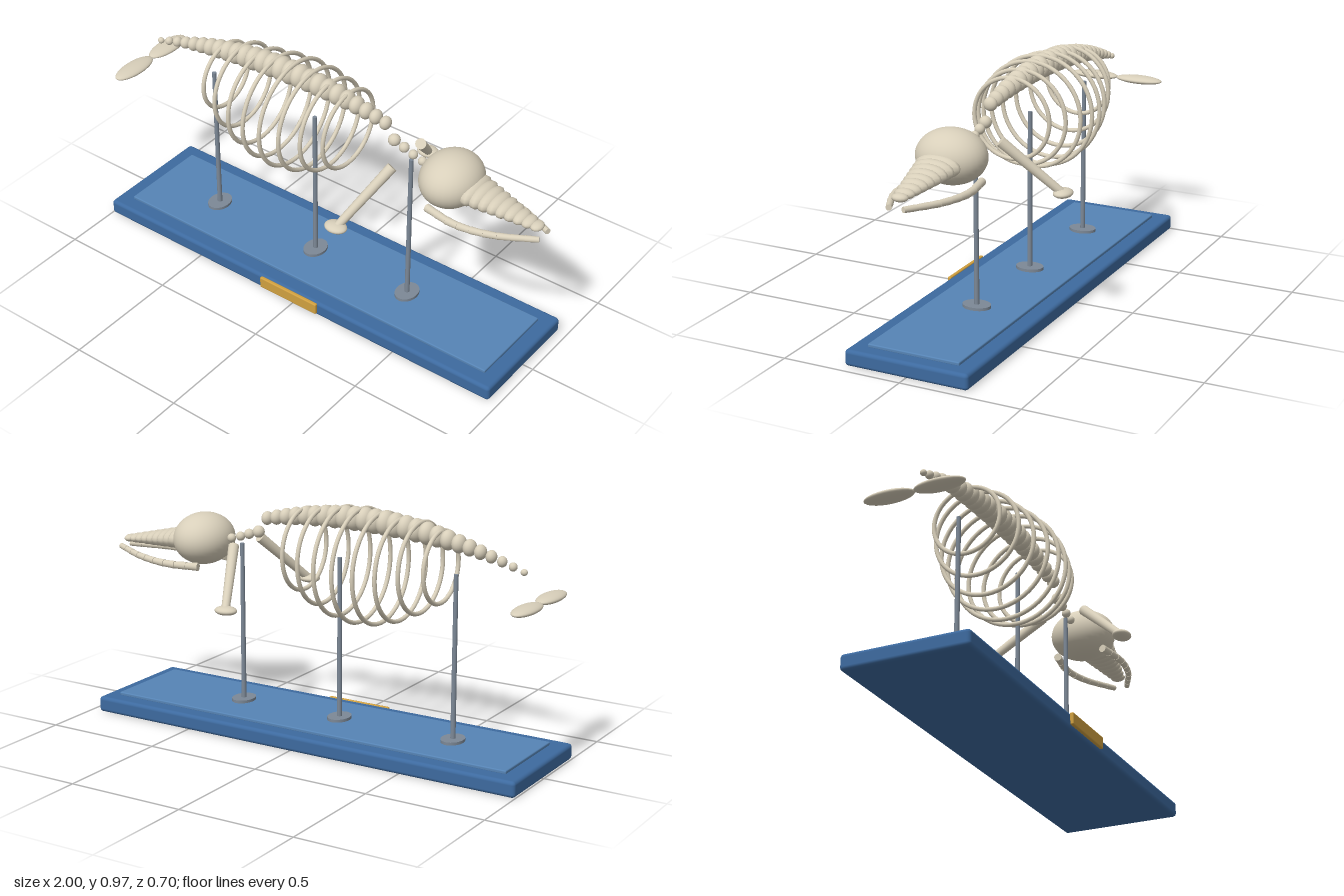
import * as THREE from 'three';
import { RoundedBoxGeometry } from 'three/addons/geometries/RoundedBoxGeometry.js';

const mat = (color) => new THREE.MeshStandardMaterial({ color });
const V = (x, y, z) => new THREE.Vector3(x, y, z);
const lerp = THREE.MathUtils.lerp;

export function createModel() {
  const model = new THREE.Group();
  model.name = 'skeletonOnStand';
  const bone = mat(0xd8cfba), steel = mat(0x7c8896);
  const blue = mat(0x3d6a9f), lightBlue = mat(0x5684b5), brass = mat(0xd0a040);

  const group = (name) => {
    const g = new THREE.Group();
    g.name = name;
    model.add(g);
    return g;
  };
  const add = (parent, name, geometry, material, x, y, z) => {
    const m = new THREE.Mesh(geometry, material);
    m.name = name;
    m.position.set(x, y, z);
    parent.add(m);
    return m;
  };
  const ellipsoid = (parent, name, p, r, w = 24, h = 16) => {
    const m = add(parent, name, new THREE.SphereGeometry(1, w, h), bone, ...p);
    m.scale.set(...r);
    return m;
  };
  // Tapered round bar from a to b
  const bar = (parent, name, a, b, ra, rb) => {
    const d = b.clone().sub(a);
    const mid = a.clone().add(b).multiplyScalar(0.5);
    const m = add(parent, name, new THREE.CylinderGeometry(rb, ra, d.length(), 16), bone, mid.x, mid.y, mid.z);
    m.quaternion.setFromUnitVectors(V(0, 1, 0), d.normalize());
    return m;
  };

  // Display base with inlay and plaque
  const base = group('base');
  add(base, 'plinth', new RoundedBoxGeometry(1.96, 0.066, 0.522, 3, 0.015), blue, -0.02, 0.033, 0);
  add(base, 'inlay', new RoundedBoxGeometry(1.83, 0.016, 0.39, 2, 0.005), lightBlue, -0.017, 0.071, 0);
  add(base, 'plaque', new RoundedBoxGeometry(0.29, 0.05, 0.016, 2, 0.005), brass, -0.015, 0.04, 0.267);

  // Support posts with oval feet
  const stand = group('supports');
  for (const x of [-0.603, -0.08, 0.39]) {
    add(stand, 'post', new THREE.CylinderGeometry(0.009, 0.0105, 0.675, 16), steel, x, 0.4175, 0);
    const foot = add(stand, 'postFoot', new THREE.CylinderGeometry(1, 1, 0.012, 32), steel, x, 0.085, 0);
    foot.scale.set(0.046, 1, 0.059);
  }

  // Arched backbone, thickest in the middle
  const spine = group('spine');
  const count = 26;
  for (let i = 0; i < count; i++) {
    const t = i / (count - 1);
    const x = lerp(-0.89, 0.265, t);
    const y = 0.922 - 0.24 * (x + 0.18) ** 2;
    const r = lerp(0.013, 0.028, t) + 0.03 * Math.sin(Math.PI * t);
    ellipsoid(spine, 'vertebra', [x, y, 0], [0.006 + 0.6 * r, r, r]);
  }
  for (const [x, y, r] of [[0.308, 0.813, 0.025], [0.355, 0.798, 0.021], [0.398, 0.783, 0.019], [0.442, 0.771, 0.018]])
    ellipsoid(spine, 'neckVertebra', [x, y, 0], [r, r, r]);

  // Closed rib hoops: outer radius and lowest point for each
  const ribs = group('ribs');
  const hoops = [[0.152, 0.622], [0.19, 0.57], [0.213, 0.527], [0.231, 0.503],
    [0.238, 0.497], [0.228, 0.513], [0.204, 0.548], [0.175, 0.594]];
  hoops.forEach(([r, low], i) => {
    const rib = add(ribs, 'rib', new THREE.TorusGeometry(r - 0.009, 0.009, 10, 56), bone, -0.537 + i * 0.089, low + r, 0);
    rib.rotation.y = Math.PI / 2;
  });

  // Skull: round cranium and a beak of shrinking overlapping rings
  const skull = group('skull');
  ellipsoid(skull, 'cranium', [0.58, 0.754, 0], [0.123, 0.108, 0.142], 32, 24);
  const rings = 11;
  for (let i = 0; i < rings; i++) {
    const t = i / (rings - 1);
    ellipsoid(skull, 'beakSegment', [lerp(0.62, 0.965, t), lerp(0.753, 0.707, t), 0],
      [lerp(0.042, 0.026, t), lerp(0.053, 0.016, t), lerp(0.11, 0.033, t)], 14, 10);
  }

  for (const side of [1, -1]) {
    const name = side > 0 ? 'left' : 'right';

    // Bowed lower jaw made of short segments
    const jaw = group(name + 'Jaw');
    const curve = new THREE.CatmullRomCurve3([
      V(0.54, 0.656, 0.105 * side), V(0.68, 0.656, 0.127 * side),
      V(0.83, 0.663, 0.104 * side), V(0.995, 0.674, 0.03 * side)]);
    const pts = curve.getSpacedPoints(9);
    for (let i = 0; i < 9; i++) {
      const r = lerp(0.017, 0.013, i / 8);
      bar(jaw, 'jawSegment', pts[i], pts[i + 1], r, r * 0.88);
    }

    // Flipper bone ending in a flat pad
    const flipper = group(name + 'Flipper');
    bar(flipper, 'flipperBone', V(0.367, 0.765, 0.095 * side), V(0.265, 0.562, 0.305 * side), 0.022, 0.017);
    ellipsoid(flipper, 'flipperPad', [0.26, 0.558, 0.31 * side], [0.048, 0.018, 0.038]);

    // Tail fluke
    ellipsoid(model, name + 'Fluke', [-0.956, 0.69, 0.105 * side], [0.044, 0.017, 0.107]);
  }
  return model;
}
